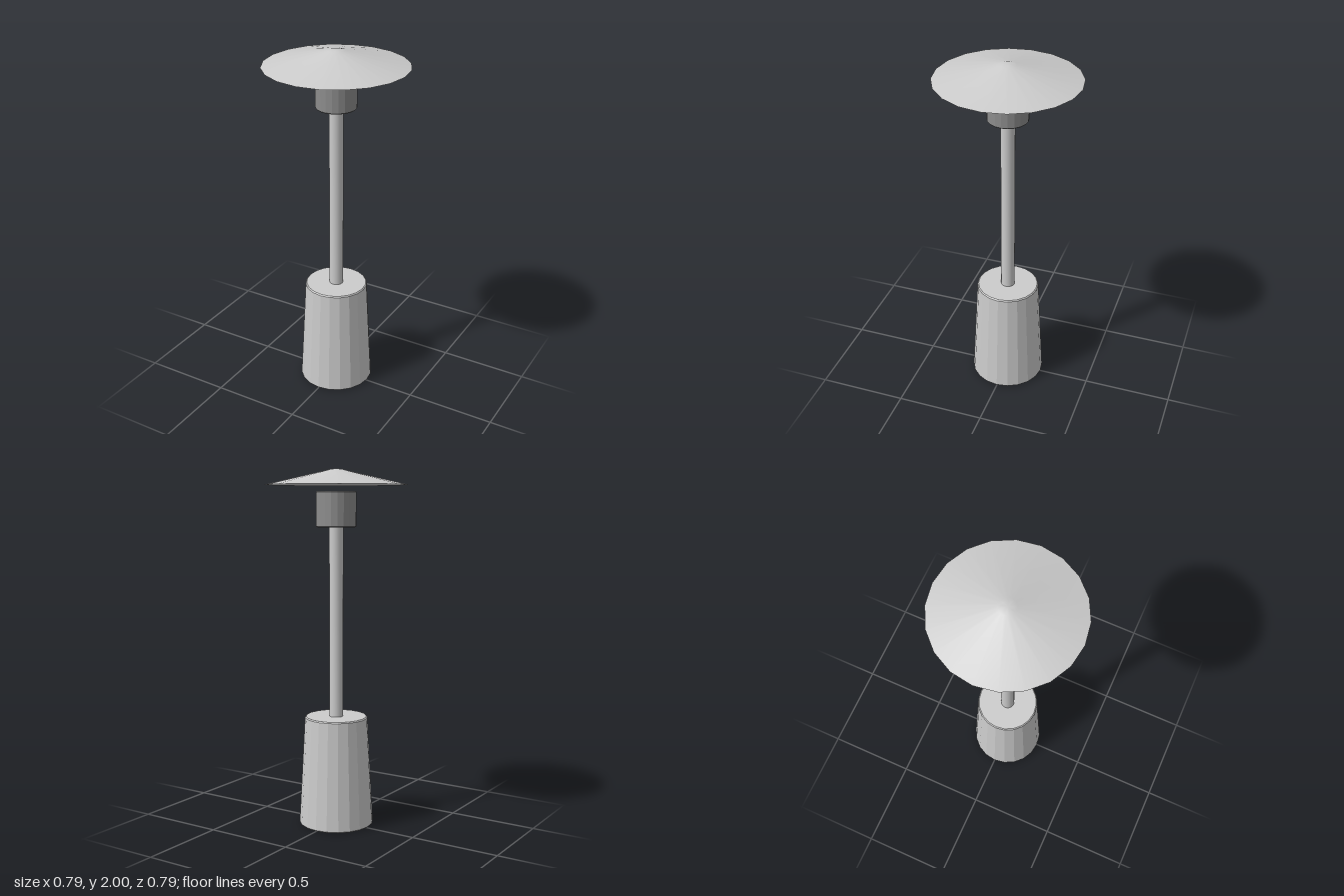
import * as THREE from 'three';
import { toCreasedNormals } from 'three/addons/utils/BufferGeometryUtils.js';

const SIDES = 20;

// Closed solid of revolution; the profile runs from the bottom centre to the top centre.
function turned(name, profile, { color = 0xcccccc, smooth = false } = {}) {
  const points = profile.map(([r, y]) => new THREE.Vector2(r, y));
  let geometry = new THREE.LatheGeometry(points, SIDES);
  if (smooth) geometry = toCreasedNormals(geometry, 0.6);
  const material = new THREE.MeshStandardMaterial({ color, flatShading: !smooth });
  const mesh = new THREE.Mesh(geometry, material);
  mesh.name = name;
  return mesh;
}

// Profile of a cylinder or tapered drum with small bevels on both rims.
function drum(rBottom, rTop, y0, y1, b) {
  return [[0, y0], [rBottom - b, y0], [rBottom, y0 + b], [rTop, y1 - b], [rTop - b, y1], [0, y1]];
}

export function createModel() {
  const lamp = new THREE.Group();
  lamp.name = 'tableLamp';

  // Heavy tapered base
  lamp.add(turned('base', drum(0.21, 0.177, 0, 0.623, 0.006)));

  // Slim stem from base to lamp head
  lamp.add(turned('stem', [[0, 0.6], [0.039, 0.6], [0.039, 1.7], [0, 1.7]], { smooth: true }));

  // Darker lamp head
  lamp.add(turned('lampHead', drum(0.112, 0.112, 1.685, 1.88, 0.005), { color: 0x8c8c8c }));

  // Shallow conical shade floating just above the head
  lamp.add(turned('shade', [
    [0, 1.915], [0.395, 1.915], [0.046, 1.995], [0.03, 2], [0, 2],
  ], { smooth: true }));

  return lamp;
}
